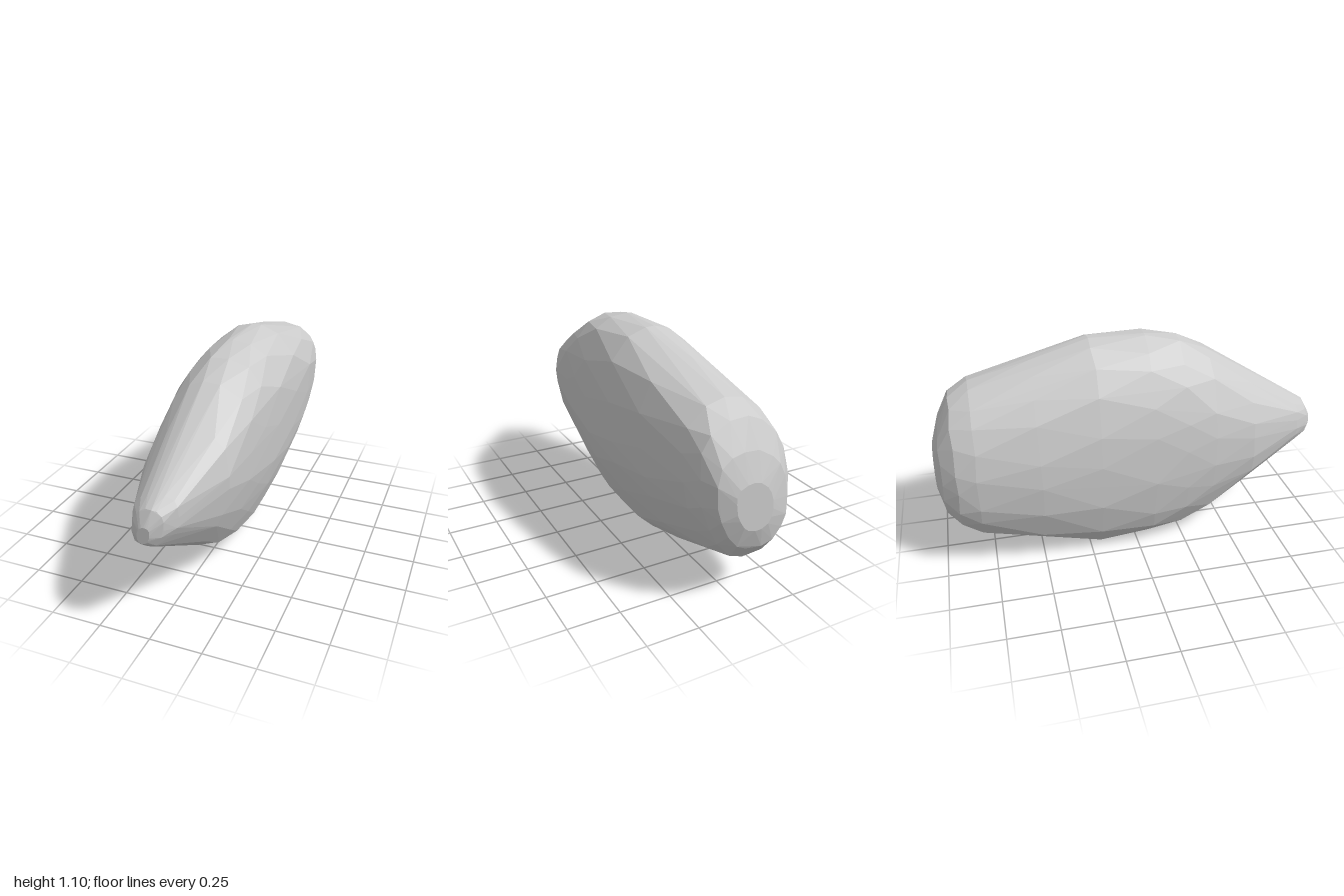
import * as THREE from 'three';
import { ConvexGeometry } from 'three/addons/geometries/ConvexGeometry.js';

// Leaning oval cross-section, scaled to about -1..1 both ways
const section = new THREE.CatmullRomCurve3([
  [-0.07, -1], [0.17, -0.96], [0.44, -0.83], [0.68, -0.56], [0.92, -0.12], [0.99, 0.36],
  [1, 0.54], [0.92, 0.73], [0.78, 0.87], [0.61, 0.945], [0.3, 1], [0, 1],
  [-0.34, 0.89], [-0.61, 0.71], [-0.78, 0.53], [-0.93, 0.24], [-1, -0.15], [-1, -0.31],
  [-0.91, -0.65], [-0.71, -0.89], [-0.6, -0.945], [-0.34, -1],
].map(([x, y]) => new THREE.Vector3(x, y, 0)), true);

// Outline along the stone: z, left and right edge, bottom and top edge
const stations = [
  [1.0, -0.03, 0.03, 0.5, 0.58],
  [0.965, -0.07, 0.08, 0.465, 0.65],
  [0.9, -0.105, 0.12, 0.435, 0.69],
  [0.62, -0.205, 0.235, 0.255, 0.86],
  [0.4, -0.245, 0.262, 0.11, 1.0],
  [0.25, -0.262, 0.275, 0.04, 1.07],
  [0.08, -0.278, 0.29, 0, 1.1],
  [-0.2, -0.292, 0.29, 0, 1.1],
  [-0.5, -0.296, 0.275, 0.082, 1.02],
  [-0.8, -0.28, 0.235, 0.165, 0.94],
  [-0.9, -0.255, 0.21, 0.21, 0.885],
  [-0.965, -0.2, 0.165, 0.29, 0.76],
  [-1.0, -0.1, 0.09, 0.4, 0.63],
];

// Seeded random number for the chipped facets
function makeRandom(seed) {
  return () => (seed = (seed * 16807) % 2147483647) / 2147483647;
}

export function createModel() {
  const group = new THREE.Group();
  group.name = 'rock';
  const random = makeRandom(71);
  const points = [];
  const sides = 18;

  stations.forEach(([z, x0, x1, y0, y1], ring) => {
    const isEnd = ring === 0 || ring === stations.length - 1;
    for (let i = 0; i < sides; i++) {
      // Stagger and jitter the corners so the facets are irregular
      const u = (i + (ring % 2) * 0.5 + (random() - 0.5) * 0.4) / sides;
      const p = section.getPointAt((u + 1) % 1);
      const shrink = 1 - random() * 0.012;
      points.push(new THREE.Vector3(
        (x0 + x1) / 2 + (p.x * shrink * (x1 - x0)) / 2,
        (y0 + y1) / 2 + (p.y * shrink * (y1 - y0)) / 2,
        isEnd ? z : z + (random() - 0.5) * 0.012,
      ));
    }
  });
  // Highest and lowest corners
  for (const z of [0.08, -0.2]) {
    points.push(new THREE.Vector3(0.04, 1.1, z), new THREE.Vector3(-0.06, 0, z));
  }

  const stone = new THREE.Mesh(
    new ConvexGeometry(points),
    new THREE.MeshStandardMaterial({ color: 0xcccccc, flatShading: true }),
  );
  stone.name = 'stone';
  group.add(stone);
  return group;
}
